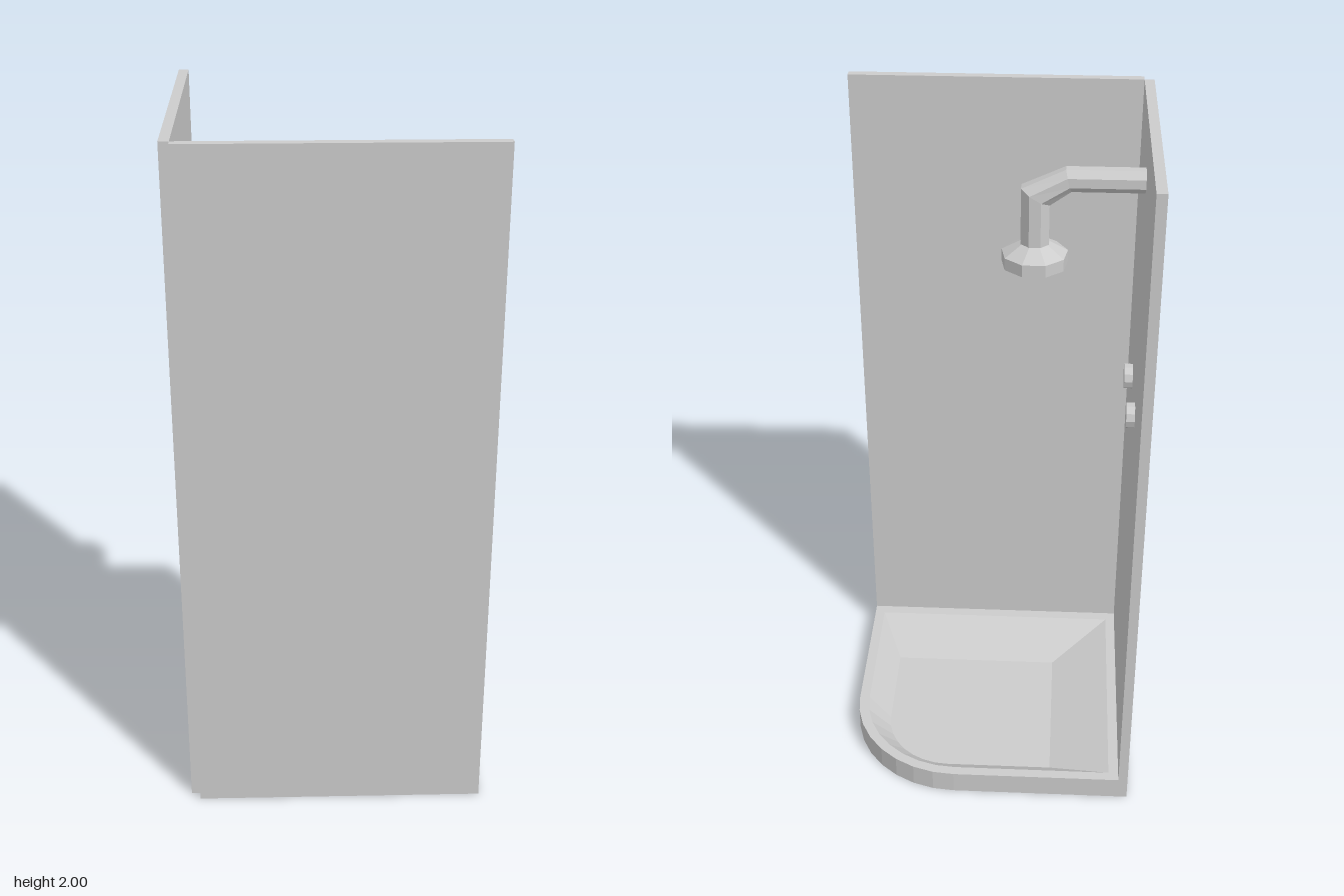
import * as THREE from 'three';

const material = new THREE.MeshStandardMaterial({ color: 0xcccccc, flatShading: true });

function add(group, name, geometry, x = 0, y = 0, z = 0) {
  const mesh = new THREE.Mesh(geometry, material);
  mesh.name = name;
  mesh.position.set(x, y, z);
  group.add(mesh);
  return mesh;
}

// Skins a series of rings that all have the same number of points.
function loft(rings) {
  const n = rings[0].length;
  const index = [];
  for (let i = 0; i < rings.length - 1; i++) {
    for (let j = 0; j < n; j++) {
      const a = i * n + j, b = i * n + (j + 1) % n;
      index.push(a, b, b + n, a, b + n, a + n);
    }
  }
  const geometry = new THREE.BufferGeometry().setFromPoints(rings.flat());
  geometry.setIndex(index);
  const flat = geometry.toNonIndexed();
  flat.computeVertexNormals();
  return flat;
}

// Rectangle with its back left corner rounded.
function trayRing(x0, x1, z0, z1, r, y) {
  const ring = [new THREE.Vector3(x0, y, z1), new THREE.Vector3(x1, y, z1)];
  for (let i = 0; i <= 8; i++) {
    const a = (i / 8) * Math.PI / 2;
    ring.push(new THREE.Vector3(x1 - r + r * Math.cos(a), y, z0 + r - r * Math.sin(a)));
  }
  ring.push(new THREE.Vector3(x0, y, z0));
  return ring;
}

const pointRing = (n, x, y, z) => Array.from({ length: n }, () => new THREE.Vector3(x, y, z));

// Mitred pipe in an xy plane; path entries are [x, y, radius].
function pipe(path, z, sides) {
  const rings = path.map(([x, y, r], i) => {
    const p = new THREE.Vector2(x, y);
    const dir = (k) => new THREE.Vector2(path[k + 1][0] - path[k][0], path[k + 1][1] - path[k][1]).normalize();
    const before = dir(Math.max(i - 1, 0));
    const after = dir(Math.min(i, path.length - 2));
    const t = before.clone().add(after).normalize();
    const stretch = 1 / t.dot(before);
    return Array.from({ length: sides }, (_, j) => {
      const a = -((j + 0.5) / sides) * Math.PI * 2;
      const up = r * Math.sin(a) * stretch;
      return new THREE.Vector3(p.x - t.y * up, p.y + t.x * up, z + r * Math.cos(a));
    });
  });
  const first = path[0], last = path[path.length - 1];
  return loft([pointRing(sides, first[0], first[1], z), ...rings, pointRing(sides, last[0], last[1], z)]);
}

export function createModel() {
  const group = new THREE.Group();
  group.name = 'showerCubicle';

  // Two wall panels
  add(group, 'frontWall', new THREE.BoxGeometry(0.838, 2, 0.027), 0.014, 1, 0.398);
  add(group, 'sideWall', new THREE.BoxGeometry(0.028, 2, 0.8), -0.419, 1, -0.015);

  // Tray with a sunken, sloping basin
  const outer = [-0.405, 0.433, -0.415, 0.385, 0.33];
  const n = trayRing(...outer, 0).length;
  add(group, 'tray', loft([
    pointRing(n, 0, 0, 0),
    trayRing(...outer, 0),
    trayRing(...outer, 0.07),
    trayRing(-0.375, 0.402, -0.385, 0.35, 0.3, 0.07),
    trayRing(-0.193, 0.33, -0.315, 0.18, 0.2, 0.012),
    pointRing(n, 0.07, 0.012, -0.07),
  ]));

  // Round taps on the side wall
  for (const [name, z] of [['leftTap', 0.124], ['rightTap', -0.096]]) {
    const tap = add(group, name, new THREE.CylinderGeometry(0.037, 0.037, 0.025, 10), -0.393, 1.19, z);
    tap.rotation.z = -Math.PI / 2;
  }

  // Shower arm and its flared head with a recessed underside
  const armZ = 0.029;
  add(group, 'showerArm', pipe([
    [-0.405, 1.847, 0.034], [-0.2, 1.847, 0.034], [-0.112, 1.8, 0.042], [-0.112, 1.65, 0.042],
  ], armZ, 8));
  const profile = [[0, 1.62], [0.074, 1.62], [0.08, 1.597], [0.093, 1.597], [0.093, 1.632], [0.042, 1.662], [0, 1.662]];
  add(group, 'showerHead', new THREE.LatheGeometry(profile.map((p) => new THREE.Vector2(...p)), 9), -0.112, 0, armZ);

  return group;
}
